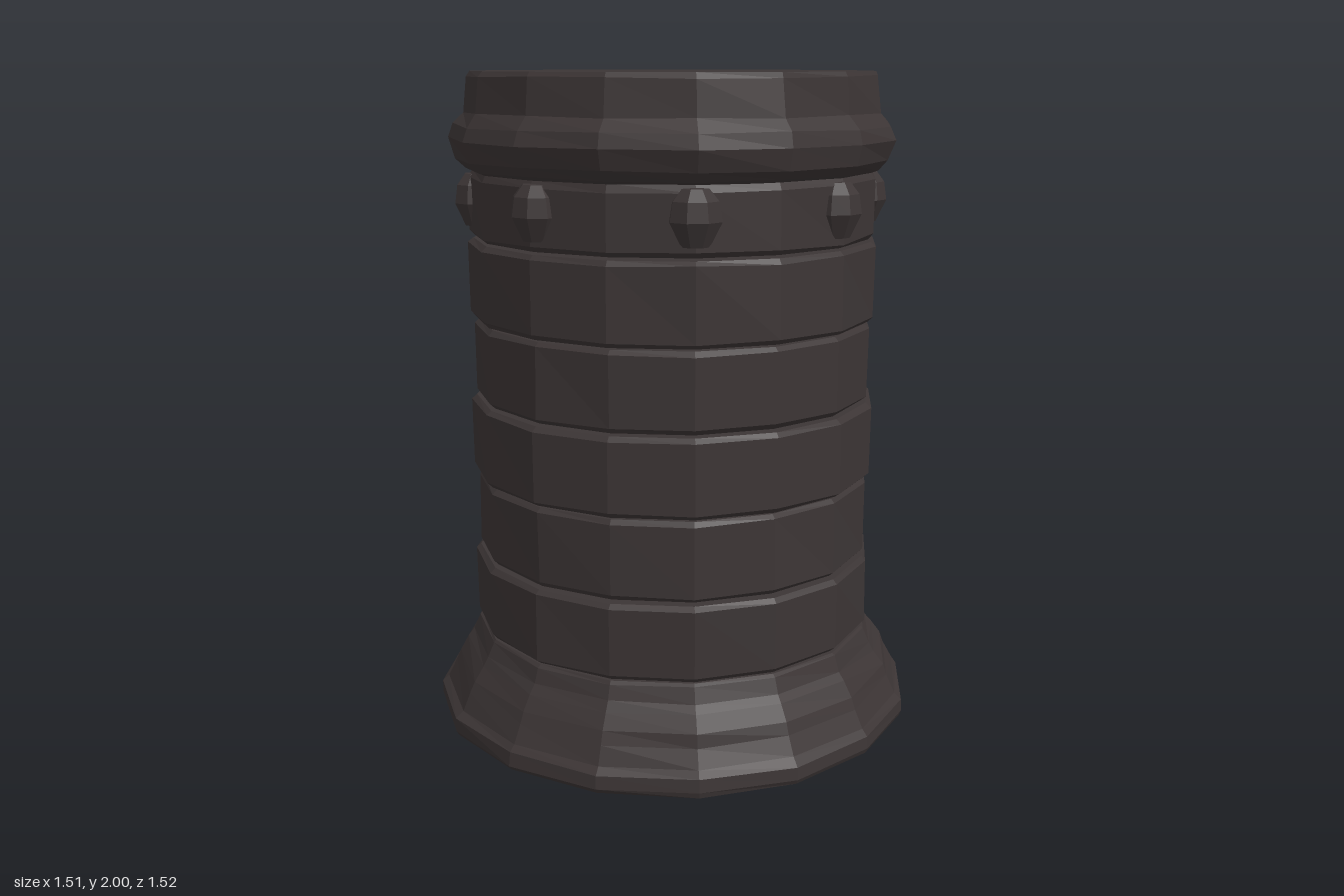
import * as THREE from 'three';

const SIDES = 16;

export function createModel() {
  const group = new THREE.Group();
  const stone = new THREE.MeshStandardMaterial({ color: 0x3c3535, flatShading: true });
  stone.name = 'dark stone';

  // Small seeded generator for the chipped, uneven edges
  let seed = 11;
  const jitter = (amount) => {
    seed = (seed * 16807) % 2147483647;
    return (seed / 2147483647 - 0.5) * 2 * amount;
  };

  // Faceted, closed turned block; profile is [radius, y] from bottom to top
  function block(name, profile, wobbleR, wobbleY) {
    const bottom = profile[0][1], top = profile[profile.length - 1][1];
    const points = [[0, bottom], ...profile, [0, top]].map(([r, y]) => new THREE.Vector2(r, y));
    const geo = new THREE.LatheGeometry(points, SIDES);
    const pos = geo.attributes.position, n = points.length;
    for (let i = 0; i < SIDES; i++) {
      for (let j = 1; j < n - 1; j++) {
        const k = i * n + j;
        const s = 1 + jitter(wobbleR);
        const inner = j > 1 && j < n - 2;
        const y = pos.getY(k) + (inner ? jitter(wobbleY) : 0);
        pos.setXYZ(k, pos.getX(k) * s, y, pos.getZ(k) * s);
      }
    }
    // Close the seam
    for (let j = 0; j < n; j++) {
      pos.setXYZ(SIDES * n + j, pos.getX(j), pos.getY(j), pos.getZ(j));
    }
    const flat = geo.toNonIndexed();
    flat.computeVertexNormals();
    const mesh = new THREE.Mesh(flat, stone);
    mesh.name = name;
    group.add(mesh);
    return mesh;
  }

  // Flared foot
  block('base', [
    [0.75, 0], [0.758, 0.015], [0.755, 0.055], [0.735, 0.075], [0.708, 0.13],
    [0.695, 0.165], [0.665, 0.21], [0.645, 0.235], [0.628, 0.28], [0.62, 0.288],
  ], 0.004, 0.003);

  // Stacked drums with thin open joints: [bottom, top, radius]
  const drums = [
    [0.292, 0.522, 0.63], [0.53, 0.77, 0.617], [0.778, 1.014, 0.63],
    [1.02, 1.256, 0.615], [1.264, 1.504, 0.628],
  ];
  for (const [y0, y1, r] of drums) {
    block('drum', [
      [r - 0.014, y0], [r, y0 + 0.014], [r, y1 - 0.014], [r - 0.014, y1],
    ], 0.005, 0.003);
  }

  // Collar that carries the studs
  block('collar', [
    [0.608, 1.512], [0.622, 1.526], [0.622, 1.69], [0.61, 1.71],
  ], 0.004, 0.006);

  // Moulded capital
  block('capital', [
    [0.605, 1.705], [0.63, 1.718], [0.66, 1.745], [0.678, 1.805], [0.665, 1.845],
    [0.632, 1.882], [0.622, 1.985], [0.612, 2],
  ], 0.006, 0.004);

  // Faceted studs around the collar
  const studProfile = [
    [0, 1.54], [0.042, 1.542], [0.077, 1.61], [0.068, 1.665], [0.04, 1.698], [0, 1.702],
  ].map(([r, y]) => new THREE.Vector2(r, y));
  const studGeo = new THREE.LatheGeometry(studProfile, 8, Math.PI / 8).toNonIndexed();
  studGeo.scale(1, 1, 0.9);
  studGeo.computeVertexNormals();
  for (let i = 0; i < 8; i++) {
    const a = (i / 8) * Math.PI * 2;
    const stud = new THREE.Mesh(studGeo, stone);
    stud.name = 'stud';
    stud.position.set(Math.sin(a) * 0.598, 0, Math.cos(a) * 0.598);
    stud.rotation.y = a;
    group.add(stud);
  }

  return group;
}
